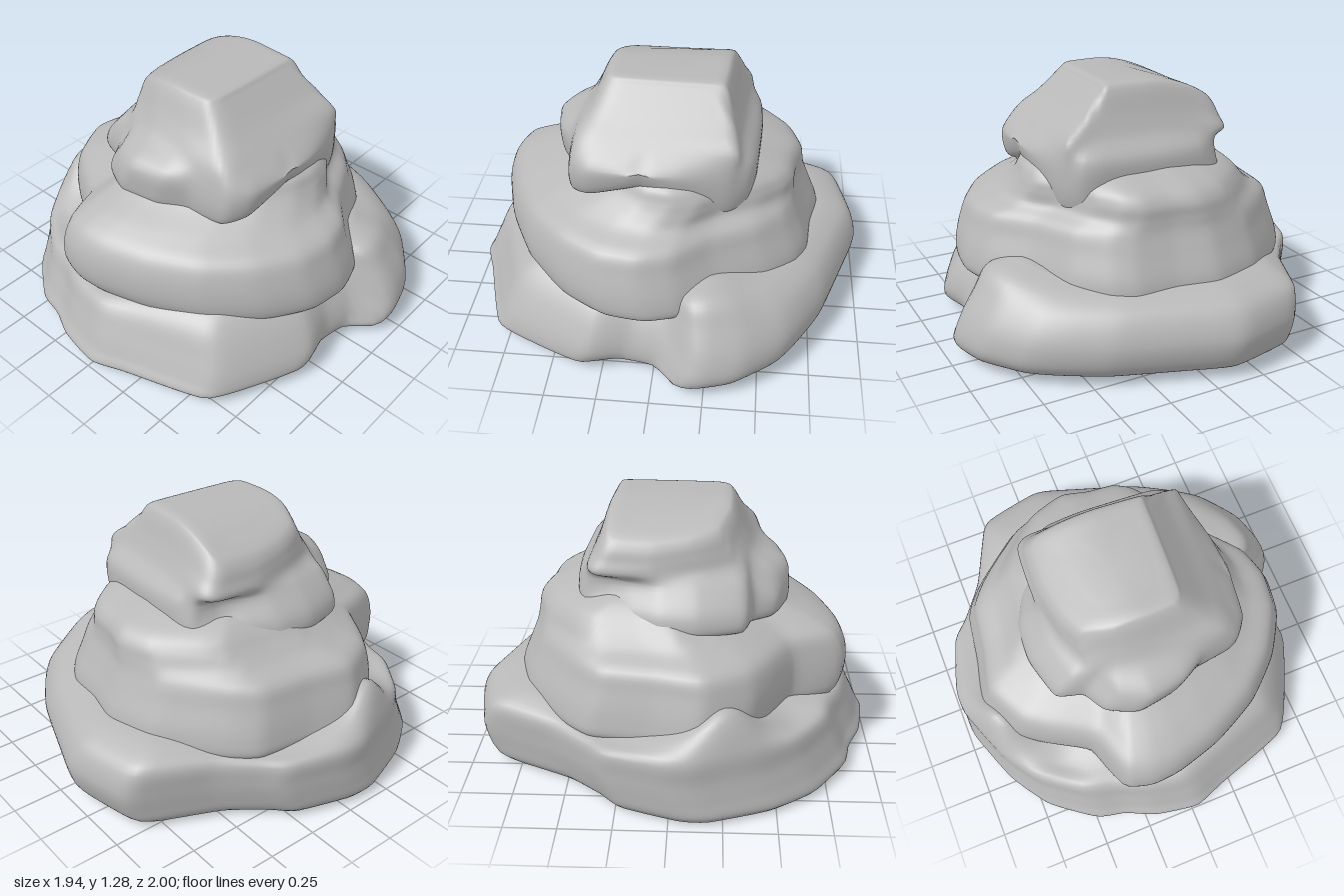
import * as THREE from 'three';

const COLUMNS = 160, STEPS = 5;

// Plan outlines as [x, z] corners, running from the back round the right-hand side
const baseOutline = [
  [-0.13, -1], [-0.42, -0.94], [-0.5, -0.89], [-0.65, -0.56], [-0.79, -0.37], [-0.88, -0.27], [-0.97, 0.02],
  [-0.97, 0.17], [-0.86, 0.47], [-0.72, 0.68], [-0.5, 0.85], [-0.35, 0.89], [-0.2, 0.96], [0.03, 1],
  [0.2, 0.94], [0.61, 0.8], [0.74, 0.58], [0.84, 0.34], [0.8, 0.15], [0.83, -0.03], [0.95, -0.15],
  [0.96, -0.24], [0.91, -0.41], [0.77, -0.6], [0.65, -0.69], [0.44, -0.81], [0.1, -0.93]];
const middleOutline = [
  [-0.15, -0.78], [-0.4, -0.71], [-0.6, -0.56], [-0.7, -0.47], [-0.78, -0.36], [-0.82, -0.1], [-0.87, 0.13],
  [-0.76, 0.35], [-0.63, 0.45], [-0.43, 0.57], [-0.38, 0.7], [-0.33, 0.81], [-0.2, 0.85], [-0.05, 0.84],
  [0.2, 0.77], [0.46, 0.64], [0.66, 0.46], [0.79, 0.25], [0.82, 0.05], [0.77, -0.12], [0.62, -0.3],
  [0.5, -0.52], [0.37, -0.66], [0.25, -0.72], [0.05, -0.74]];
const upperOutline = [
  [-0.1, -0.48], [-0.3, -0.47], [-0.41, -0.42], [-0.44, -0.3], [-0.49, -0.18], [-0.54, -0.06], [-0.55, 0.12],
  [-0.49, 0.34], [-0.36, 0.39], [-0.29, 0.5], [-0.14, 0.57], [0.06, 0.54], [0.2, 0.47], [0.4, 0.44],
  [0.48, 0.34], [0.51, 0.1], [0.5, -0.1], [0.45, -0.33], [0.38, -0.43], [0.28, -0.46]];
const capOutline = [
  [-0.34, -0.33], [-0.41, -0.29], [-0.42, -0.1], [-0.39, 0.08], [-0.33, 0.21], [-0.18, 0.27],
  [0, 0.28], [0.14, 0.27], [0.18, 0.2], [0.2, -0.26], [0.16, -0.3]];

// Fit an outline to the bounds x0..x1, z0..z1 at a height that may vary with x and z
function ring(outline, y, x0, x1, z0, z1) {
  const xs = outline.map(p => p[0]), zs = outline.map(p => p[1]);
  const fit = (v, all, a, b) => THREE.MathUtils.mapLinear(v, Math.min(...all), Math.max(...all), a, b);
  const curve = new THREE.CatmullRomCurve3(outline.map(([x, z]) =>
    new THREE.Vector3(fit(x, xs, x0, x1), 0, fit(z, zs, z0, z1))), true, 'catmullrom', 0.25);
  return { points: curve.getPoints(200), height: typeof y === 'function' ? y : () => y };
}

// Point where a ray from the axis meets the ring
function hit({ points, height }, cx, angle) {
  const dx = Math.cos(angle), dz = Math.sin(angle);
  let best = 0;
  for (let i = 0; i < points.length - 1; i++) {
    const ax = points[i].x - cx, az = points[i].z;
    const ex = points[i + 1].x - cx - ax, ez = points[i + 1].z - az;
    const d = dx * ez - dz * ex;
    if (Math.abs(d) < 1e-9) continue;
    const r = (ax * ez - az * ex) / d, s = (ax * dz - az * dx) / d;
    if (s >= -1e-6 && s <= 1.000001 && r > best) best = r;
  }
  const x = cx + dx * best, z = dz * best;
  return new THREE.Vector3(x, height(x, z), z);
}

// Smooth skin through stacked rings, closed above and flat underneath
function rock(name, rings, cx, topY, material) {
  const rows = (rings.length - 1) * STEPS + 1, position = [], index = [];
  for (let i = 0; i < COLUMNS; i++) {
    const angle = i / COLUMNS * Math.PI * 2;
    const column = new THREE.CatmullRomCurve3(rings.map(r => hit(r, cx, angle)), false, 'centripetal');
    for (const p of column.getPoints(rows - 1)) position.push(p.x, p.y, p.z);
  }
  const under = position.length / 3;
  for (let i = 0; i < COLUMNS; i++) position.push(...position.slice(i * rows * 3, i * rows * 3 + 3));
  const top = under + COLUMNS, bottom = top + 1;
  position.push(cx, topY, 0, cx, rings[0].height(cx, 0), 0);
  for (let i = 0; i < COLUMNS; i++) {
    const n = (i + 1) % COLUMNS;
    for (let j = 0; j < rows - 1; j++) {
      const a = i * rows + j, b = n * rows + j;
      index.push(a, a + 1, b, b, a + 1, b + 1);
    }
    index.push(top, n * rows + rows - 1, i * rows + rows - 1);
    index.push(bottom, under + i, under + n);
  }
  const geometry = new THREE.BufferGeometry();
  geometry.setAttribute('position', new THREE.Float32BufferAttribute(position, 3));
  geometry.setIndex(index);
  geometry.computeVertexNormals();
  const mesh = new THREE.Mesh(geometry, material);
  mesh.name = name;
  return mesh;
}

const bell = (v, centre, width) => Math.exp(-(((v - centre) / width) ** 2));
const mound = (x, z, cx, cz, wx, wz) => bell(x, cx, wx) * bell(z, cz, wz);

export function createModel() {
  const stone = new THREE.MeshStandardMaterial({ color: 0xb8b8b8 });
  stone.name = 'grey stone';
  const group = new THREE.Group();
  group.name = 'rockPile';

  // Broad base slab with an uneven shoulder: humps and hollows round its top edge
  const floor = y => (x, z) => y + 0.008 * x - 0.016 * mound(x, z, -0.7, 0.55, 0.35, 0.4);
  const shoulder = (y, k) => (x, z) => y + k * (
    0.14 * mound(x, z, -0.81, 0.26, 0.11, 0.17)
    + 0.06 * mound(x, z, 0.7, -0.25, 0.3, 0.2)
    - 0.06 * mound(x, z, 0.8, 0.1, 0.3, 0.15)
    - 0.07 * mound(x, z, -0.55, 0.55, 0.18, 0.2)
    - 0.05 * mound(x, z, -0.15, 0.75, 0.28, 0.3)
    - 0.06 * mound(x, z, -0.75, -0.3, 0.3, 0.3)
    + 0.02 * mound(x, z, 0.4, 0.7, 0.2, 0.3));
  group.add(rock('baseSlab', [
    ring(baseOutline, floor(0.022), -0.94, 0.89, -0.89, 0.95),
    ring(baseOutline, floor(0.058), -0.965, 0.95, -0.95, 1),
    ring(baseOutline, 0.12, -0.965, 0.965, -0.985, 0.97),
    ring(baseOutline, 0.22, -0.96, 0.935, -1, 0.925),
    ring(baseOutline, shoulder(0.34, 0.25), -0.955, 0.86, -0.95, 0.865),
    ring(baseOutline, shoulder(0.4, 0.9), -0.87, 0.79, -0.84, 0.76),
    ring(baseOutline, shoulder(0.43, 1), -0.7, 0.64, -0.7, 0.6),
  ], 0, 0.44, stone));

  // Middle boulder
  group.add(rock('middleBoulder', [
    ring(middleOutline, 0.31, -0.8, 0.77, -0.74, 0.77),
    ring(middleOutline, 0.35, -0.85, 0.815, -0.775, 0.825),
    ring(middleOutline, 0.43, -0.845, 0.815, -0.775, 0.86),
    ring(middleOutline, 0.56, -0.81, 0.775, -0.725, 0.855),
    ring(middleOutline, 0.65, -0.775, 0.735, -0.69, 0.81),
    ring(middleOutline, 0.71, -0.66, 0.62, -0.68, 0.72),
    ring(middleOutline, 0.77, -0.58, 0.57, -0.67, 0.58),
    ring(middleOutline, 0.82, -0.53, 0.545, -0.63, 0.48),
    ring(middleOutline, 0.87, -0.47, 0.52, -0.52, 0.4),
    ring(middleOutline, 0.91, -0.38, 0.46, -0.4, 0.34),
  ], 0, 0.92, stone));

  // Upper boulder with a scalloped lower rim and a sloping square cap
  const rim = y => (x, z) => y
    + 0.12 * Math.max(0, 1 - Math.abs(z - 0.09) / 0.36) * THREE.MathUtils.smoothstep(x, 0.15, 0.45)
    - 0.06 * mound(x, z, 0.44, -0.33, 0.15, 0.15)
    - 0.09 * mound(x, z, -0.4, -0.4, 0.13, 0.13);
  const slope = (y, k) => x => y - k * Math.min(x, 0) ** 2;
  group.add(rock('upperBoulder', [
    ring(upperOutline, rim(0.73), -0.5, 0.43, -0.4, 0.51),
    ring(upperOutline, rim(0.76), -0.55, 0.485, -0.45, 0.55),
    ring(upperOutline, rim(0.84), -0.54, 0.51, -0.465, 0.565),
    ring(upperOutline, 0.95, -0.455, 0.505, -0.46, 0.55),
    ring(capOutline, slope(1.04, 0.2), -0.43, 0.425, -0.405, 0.42),
    ring(capOutline, slope(1.13, 0.4), -0.415, 0.325, -0.365, 0.355),
    ring(capOutline, slope(1.245, 0.85), -0.4, 0.215, -0.325, 0.295),
    ring(capOutline, slope(1.27, 0.85), -0.365, 0.19, -0.3, 0.27),
    ring(capOutline, slope(1.275, 0.85), -0.2, 0.1, -0.18, 0.16),
  ], -0.06, 1.275, stone));

  return group;
}
